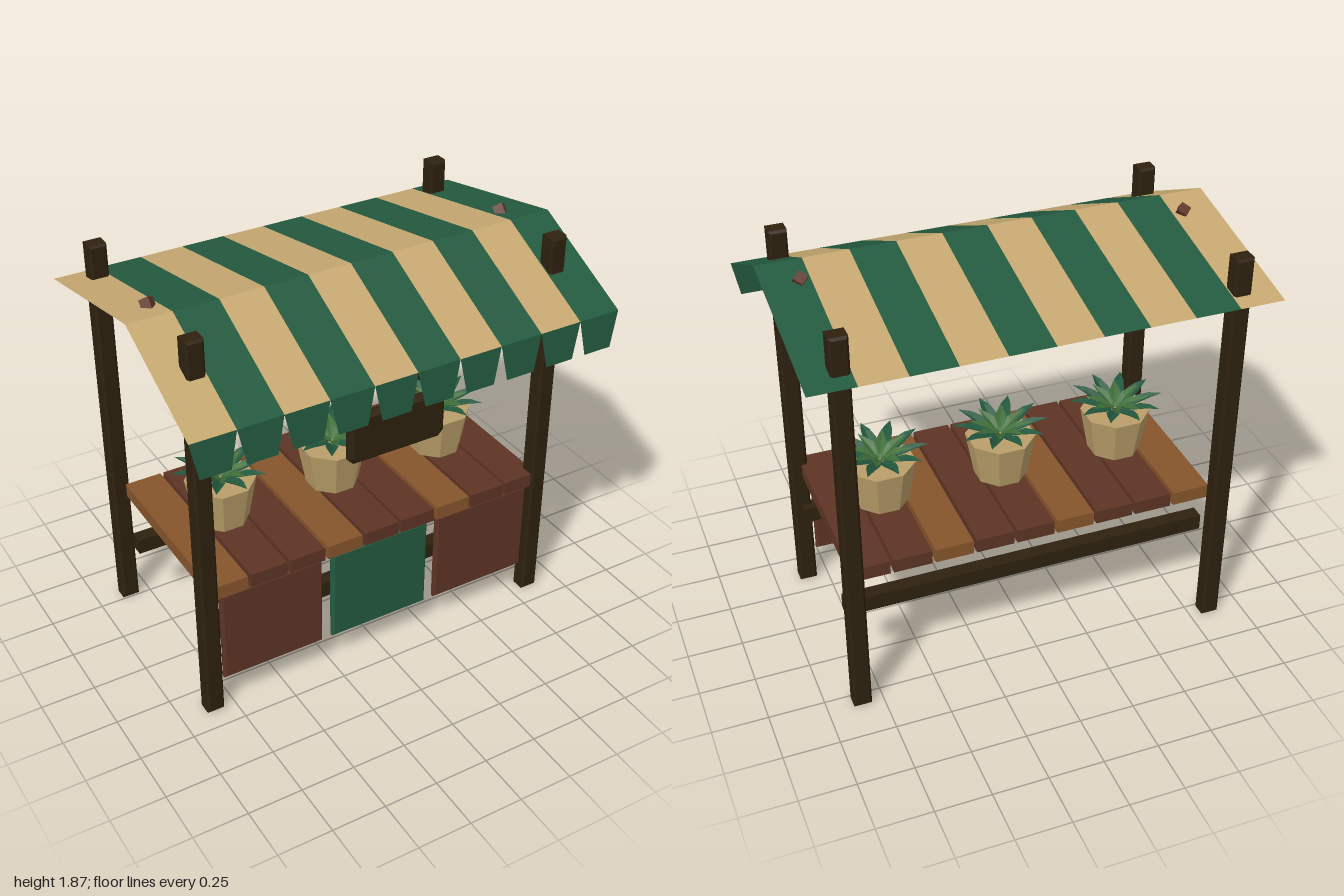
import * as THREE from 'three';
import { mergeGeometries } from 'three/addons/utils/BufferGeometryUtils.js';

const mat = (name, color, side = THREE.FrontSide) => {
  const m = new THREE.MeshStandardMaterial({ color, side });
  m.name = name;
  return m;
};

// split faces so every facet gets its own flat normal
function flat(geo) {
  const g = geo.index ? geo.toNonIndexed() : geo;
  g.computeVertexNormals();
  return g;
}

// box with chamfered edges, centred on the origin; "cut" also clips the front corners
function bevelBox(w, h, d, b, cut = 0) {
  const x = w / 2 - b, y = h / 2 - b, s = new THREE.Shape();
  if (cut) {
    s.setFromPoints([[-x + cut, -y], [x - cut, -y], [x, -y + cut], [x, y - cut],
      [x - cut, y], [-x + cut, y], [-x, y - cut], [-x, -y + cut]].map(p => new THREE.Vector2(...p)));
  } else {
    s.setFromPoints([[-x, -y], [x, -y], [x, y], [-x, y]].map(p => new THREE.Vector2(...p)));
  }
  const g = new THREE.ExtrudeGeometry(s, {
    depth: d - 2 * b, bevelEnabled: true, bevelThickness: b, bevelSize: b, bevelSegments: 1,
  });
  return flat(g.translate(0, 0, -d / 2 + b));
}

// sheet whose vertices follow a rule: place(column 0..cols, row 0..rows) -> [x, y, z]
function sheet(cols, rows, place) {
  const g = new THREE.PlaneGeometry(1, 1, cols, rows);
  for (let r = 0, i = 0; r <= rows; r++) {
    for (let c = 0; c <= cols; c++, i++) g.attributes.position.setXYZ(i, ...place(c, r));
  }
  return flat(g);
}

// one keeled leaf pointing along +z: sections are [radius, height, half width, edge lift]
function leaf(sections) {
  return sheet(2, sections.length - 1, (c, r) => {
    const [z, y, w, lift] = sections[r];
    return [(c - 1) * w, y + (c === 1 ? 0 : lift), z];
  });
}

function leafRing(count, sections, offset) {
  const leaves = [];
  for (let i = 0; i < count; i++) {
    leaves.push(leaf(sections).rotateY(offset + i * Math.PI * 2 / count));
  }
  return mergeGeometries(leaves);
}

export function createModel() {
  const group = new THREE.Group();
  const darkWood = mat('dark wood', 0x2e210f);
  const brownWood = mat('brown wood', 0x5e3425);
  const lightWood = mat('light wood', 0x86552b);
  const greenPaint = mat('green paint', 0x245a40);
  const greenCloth = mat('green cloth', 0x245a40, THREE.DoubleSide);
  const tanCloth = mat('tan cloth', 0xc6a870, THREE.DoubleSide);
  const clay = mat('clay', 0xb99e69);
  const darkLeaf = mat('dark leaf', 0x23583f, THREE.DoubleSide);
  const lightLeaf = mat('light leaf', 0x3f6d38, THREE.DoubleSide);

  const add = (name, geo, material, x = 0, y = 0, z = 0, parent = group) => {
    const m = new THREE.Mesh(geo, material);
    m.name = name;
    m.position.set(x, y, z);
    parent.add(m);
    return m;
  };

  // posts and slanted canopy braces on both sides
  const postGeo = bevelBox(0.08, 1.87, 0.08, 0.01);
  const low = new THREE.Vector3(0, 1.41, 0.365), high = new THREE.Vector3(0, 1.842, -0.033);
  const slope = high.clone().sub(low);
  const braceGeo = new THREE.BoxGeometry(0.045, slope.length(), 0.045);
  braceGeo.rotateY(Math.PI / 4);
  braceGeo.rotateX(Math.atan2(slope.z, slope.y));
  for (const side of [-1, 1]) {
    const label = side > 0 ? 'left' : 'right';
    add(label + 'FrontPost', postGeo, darkWood, side * 0.845, 0.935, 0.37);
    add(label + 'BackPost', postGeo, darkWood, side * 0.845, 0.935, -0.54);
    add(label + 'Brace', braceGeo, brownWood, side * 0.845, (low.y + high.y) / 2, (low.z + high.z) / 2);
  }

  // long rails under the counter
  const railGeo = new THREE.BoxGeometry(1.7, 0.075, 0.065);
  add('frontRail', railGeo, darkWood, 0, 0.408, 0.327);
  add('backRail', railGeo, darkWood, 0, 0.408, -0.367);

  // counter planks, every third one lighter
  const plankGeo = new THREE.BoxGeometry(0.172, 0.065, 0.87);
  for (let i = 0; i < 9; i++) {
    add('plank' + (i + 1), plankGeo, i % 3 ? brownWood : lightWood, (i - 4) * 0.187, 0.642, -0.035);
  }

  // hanging front panels
  const panelGeo = bevelBox(0.492, 0.46, 0.035, 0.01);
  [-1, 0, 1].forEach((i) => {
    add('frontPanel' + (i + 2), panelGeo, i ? brownWood : greenPaint, i * 0.543, 0.38, 0.376);
  });

  // blank hanging board
  add('signBoard', bevelBox(0.465, 0.235, 0.055, 0.02, 0.014), darkWood, -0.003, 1.265, 0.49);

  // striped canopy with a tapered flap under each stripe
  const profile = [[1.69, -0.65], [1.845, 0.12], [1.595, 0.64]];
  const stripes = [[], []], flaps = [];
  for (let i = 0; i < 10; i++) {
    const x0 = -1 + i * 0.2;
    stripes[i % 2].push(sheet(1, 2, (c, r) => [x0 + c * 0.2, ...profile[r]]));
    flaps.push(sheet(1, 1, (c, r) => {
      const inset = r * 0.033 * (c ? -1 : 1);
      return [x0 + c * 0.2 + inset, r ? 1.43 : 1.595, r ? 0.648 : 0.64];
    }));
  }
  add('tanStripes', mergeGeometries(stripes[0]), tanCloth);
  add('greenStripes', mergeGeometries(stripes[1]), greenCloth);
  add('canopyFlaps', mergeGeometries(flaps), greenCloth);

  // potted spiky plants
  const potGeo = flat(new THREE.CylinderGeometry(0.159, 0.121, 0.205, 8).rotateY(Math.PI / 8));
  const outer = leafRing(10, [[0.01, 0.875, 0.012, 0.004], [0.11, 0.912, 0.03, 0.016],
    [0.16, 0.932, 0.02, 0.01], [0.215, 0.945, 0.0005, 0]], 0.1);
  const inner = leafRing(8, [[0.005, 0.885, 0.01, 0.004], [0.07, 0.918, 0.026, 0.014],
    [0.145, 0.948, 0.0005, 0]], 0.4);
  [-1, 0, 1].forEach((i) => {
    const plant = new THREE.Group();
    plant.name = 'pottedPlant' + (i + 2);
    plant.position.set(i * 0.563, 0, -0.035);
    add('pot', potGeo, clay, 0, 0.7775, 0, plant);
    add('outerLeaves', outer, darkLeaf, 0, 0, 0, plant);
    add('innerLeaves', inner, lightLeaf, 0, 0, 0, plant);
    group.add(plant);
  });
  return group;
}
